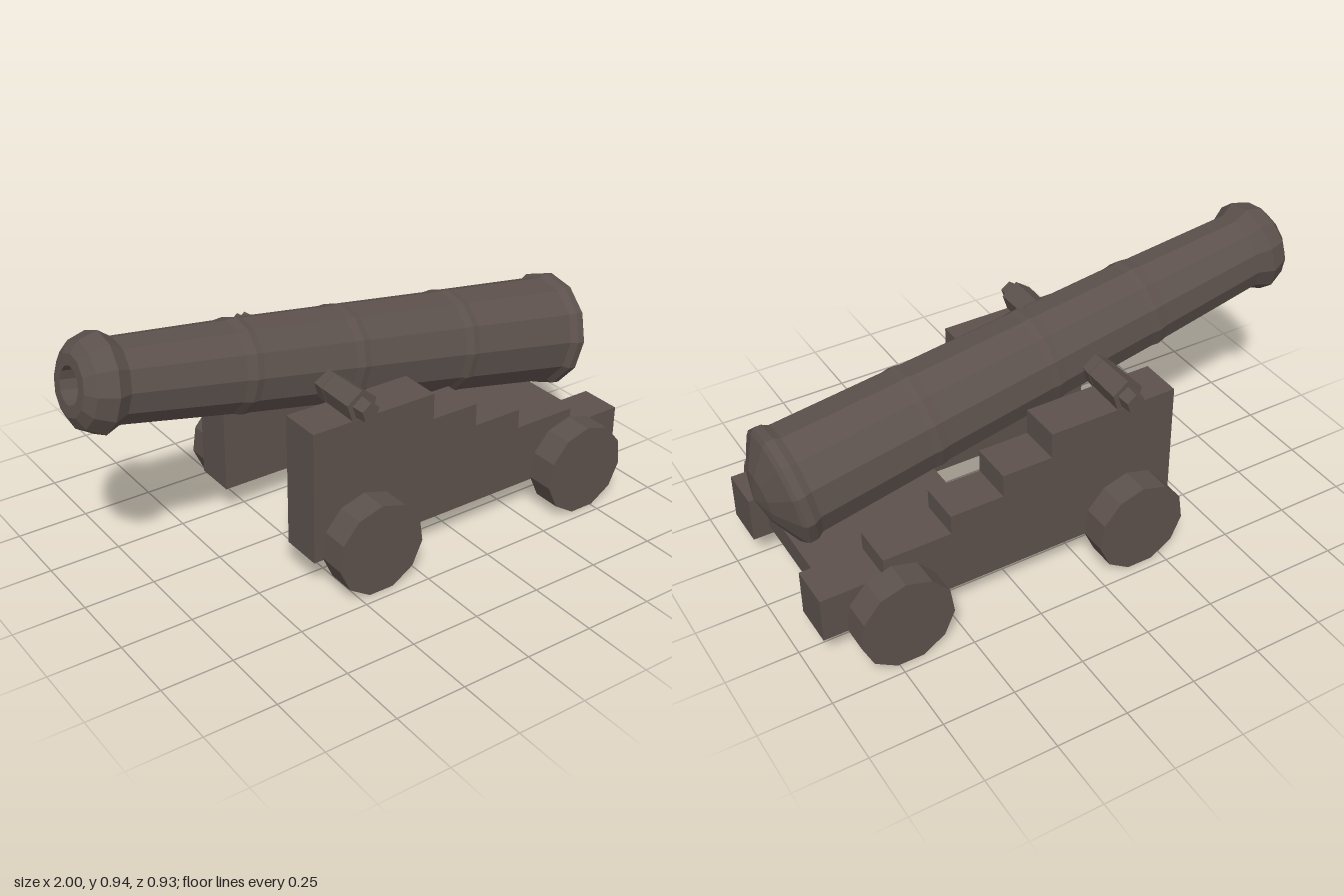
import * as THREE from 'three';

const iron = new THREE.MeshStandardMaterial({ color: 0x5c514c });
iron.name = 'dark weathered brown';

// Faceted mesh with hard edges
function part(name, geometry, parent) {
  const flat = geometry.index ? geometry.toNonIndexed() : geometry;
  flat.computeVertexNormals();
  const mesh = new THREE.Mesh(flat, iron);
  mesh.name = name;
  parent.add(mesh);
  return mesh;
}

// Cylinder along z with one corner pointing up
function drum(rFront, rBack, depth, sides) {
  return new THREE.CylinderGeometry(rBack, rFront, depth, sides).rotateX(-Math.PI / 2);
}

export function createModel() {
  const cannon = new THREE.Group();
  cannon.name = 'cannon';

  // Barrel profile: [distance along the axis, radius], bore to breech
  const profile = [
    [-0.65, 0], [-0.65, 0.062], [-0.998, 0.062],
    [-0.998, 0.1], [-0.972, 0.138], [-0.91, 0.163], [-0.86, 0.137],
    [-0.465, 0.153], [-0.43, 0.16], [-0.405, 0.156],
    [-0.055, 0.165], [-0.025, 0.17], [0, 0.167],
    [0.4, 0.177], [0.43, 0.183], [0.455, 0.18],
    [0.87, 0.192], [0.895, 0.206], [0.922, 0.206], [0.935, 0.193],
    [0.99, 0.09], [1.012, 0],
  ].map(([t, r]) => new THREE.Vector2(r, t));
  const tilt = THREE.MathUtils.degToRad(9.9);
  const barrel = new THREE.LatheGeometry(profile, 12, THREE.MathUtils.degToRad(-6));
  barrel.rotateZ(-Math.PI / 2 - tilt);
  part('barrel', barrel, cannon).position.set(0, 0.629, 0);

  // Stepped cheek outline: [x where the step ends, height of the step]
  const steps = [[0.12, 0.59], [0.3, 0.497], [0.49, 0.415], [0.73, 0.345], [0.95, 0.28]];
  const outline = new THREE.Shape();
  outline.moveTo(-0.35, 0.115);
  outline.lineTo(0.95, 0.115);
  for (let i = steps.length - 1; i >= 0; i--) {
    outline.lineTo(steps[i][0], steps[i][1]);
    outline.lineTo(i ? steps[i - 1][0] : -0.35, steps[i][1]);
  }
  outline.closePath();

  for (const side of [1, -1]) {
    const label = side > 0 ? 'left' : 'right';

    const cheek = new THREE.ExtrudeGeometry(outline, { depth: 0.152, bevelEnabled: false });
    part(label + 'Cheek', cheek, cannon).position.z = side > 0 ? 0.198 : -0.35;

    // Trunnion with its narrow tapered end
    const trunnion = new THREE.Group();
    trunnion.name = label + 'Trunnion';
    trunnion.position.set(-0.165, 0.63, 0);
    if (side < 0) trunnion.rotation.y = Math.PI;
    cannon.add(trunnion);
    part('trunnionInner', drum(0.056, 0.046, 0.1, 5), trunnion).position.z = 0.15;
    part('trunnionPin', drum(0.058, 0.054, 0.148, 5), trunnion).position.z = 0.274;
    part('trunnionEnd', drum(0.034, 0.038, 0.048, 5), trunnion).position.z = 0.372;

    for (const [end, x] of [['front', -0.165], ['rear', 0.71]]) {
      part(label + end + 'Wheel', drum(0.1646, 0.1646, 0.1, 11), cannon)
        .position.set(x, 0.16, side * 0.414);
    }
  }

  // Bed plate joining the cheeks under the breech
  part('bedPlate', new THREE.BoxGeometry(0.57, 0.083, 0.4), cannon).position.set(0.605, 0.191, 0);

  return cannon;
}
